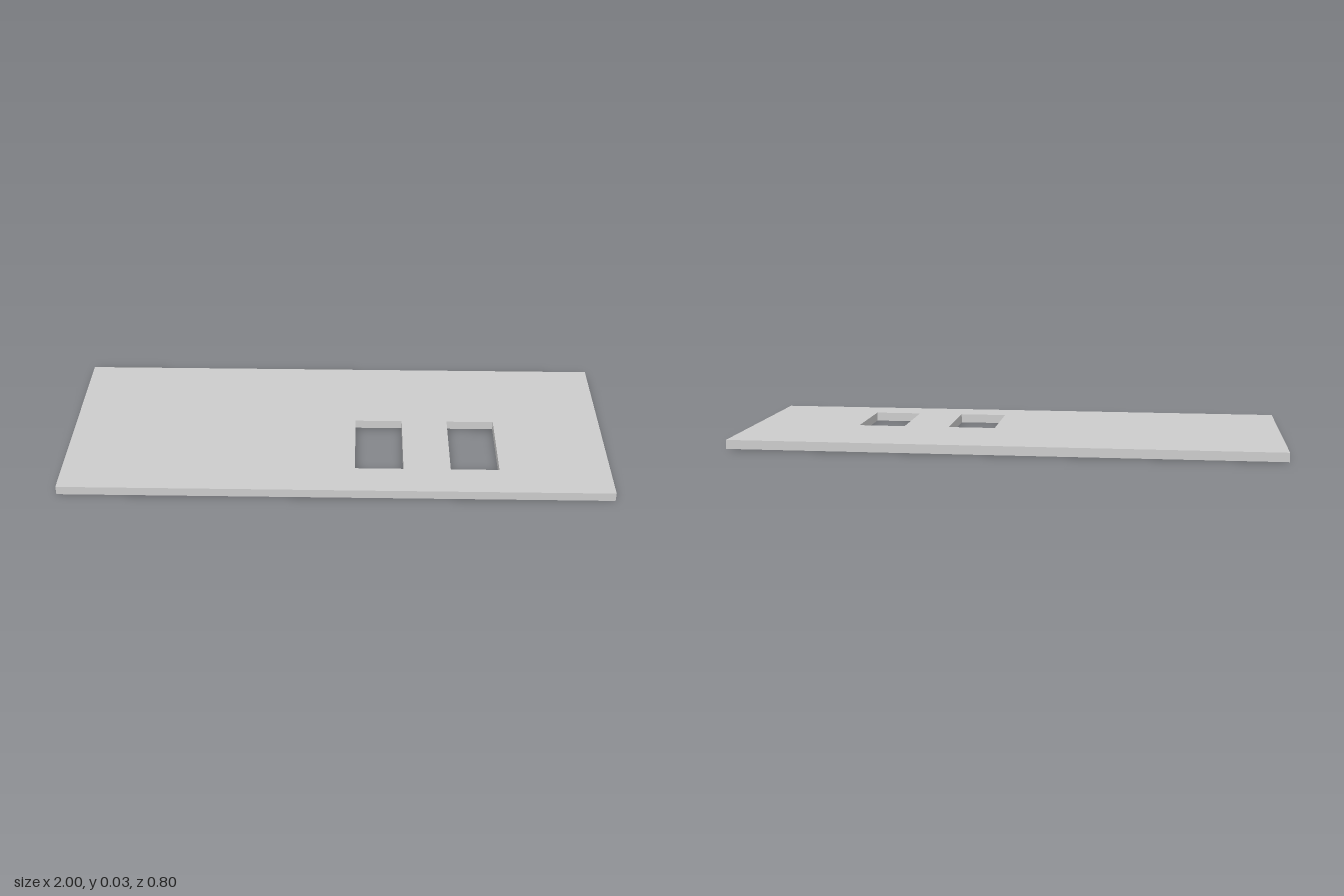
import * as THREE from 'three';

const WIDTH = 2, DEPTH = 0.8, THICKNESS = 0.033;

// Adds a rectangle, given by its plan limits in x and z, to a path
function rectangle(path, x0, x1, z0, z1) {
  path.moveTo(x0, -z1);
  path.lineTo(x1, -z1);
  path.lineTo(x1, -z0);
  path.lineTo(x0, -z0);
  path.closePath();
  return path;
}

export function createModel() {
  const group = new THREE.Group();
  group.name = 'panel';

  // Flat slab outline
  const outline = rectangle(new THREE.Shape(), -WIDTH / 2, WIDTH / 2, -DEPTH / 2, DEPTH / 2);

  // Two matching rectangular openings, side by side
  for (const x of [0.07, 0.419]) {
    outline.holes.push(rectangle(new THREE.Path(), x, x + 0.177, -0.036, 0.268));
  }

  // Extrude upwards so the slab lies on the ground
  const geometry = new THREE.ExtrudeGeometry(outline, { depth: THICKNESS, bevelEnabled: false });
  geometry.rotateX(-Math.PI / 2);

  const slab = new THREE.Mesh(geometry, new THREE.MeshStandardMaterial({ color: 0xcccccc }));
  slab.name = 'slabWithOpenings';
  group.add(slab);
  return group;
}
